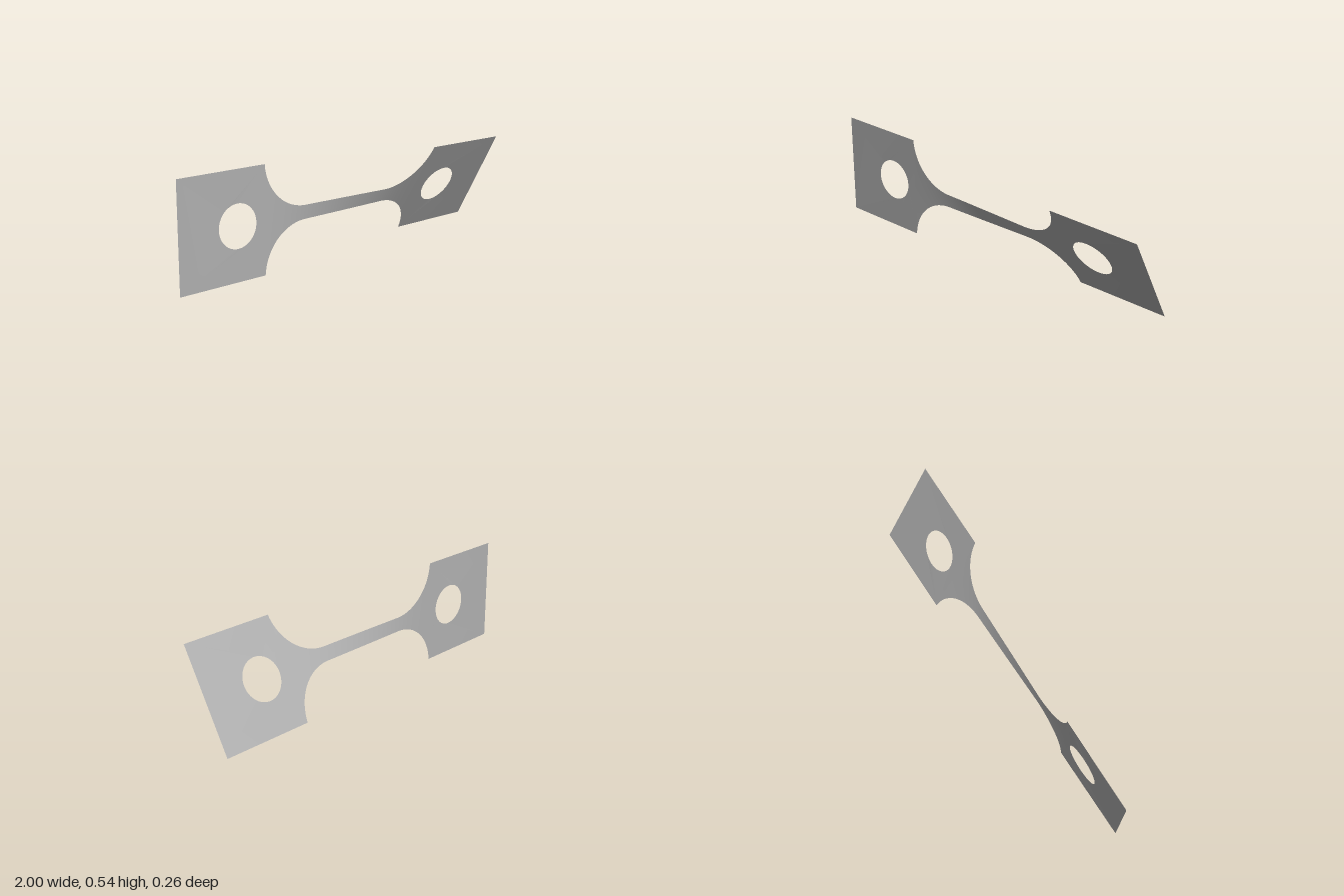
import * as THREE from 'three';

const CENTRE_Y = 0.271, TAB_HALF = 0.27, NECK_HALF = 0.036;
const NECK_END = 0.26, FILLET = 0.25, TAB_START = 0.5095;
const HOLE_X = 0.67, HOLE_R = 0.108;
const TWIST = THREE.MathUtils.degToRad(29.2);

// Half height of the strip at a given x: straight neck, round fillets, square tabs
function halfHeight(x) {
  const d = Math.abs(x) - NECK_END;
  if (d <= 0) return NECK_HALF;
  if (d >= TAB_START - NECK_END) return TAB_HALF;
  return Math.min(TAB_HALF, NECK_HALF + FILLET - Math.sqrt(FILLET * FILLET - d * d));
}

// Twist accumulates between the holes, faster where the strip is narrower
const STEPS = 400;
const angles = [0];
for (let i = 0; i < STEPS; i++) {
  const x = -HOLE_X + (2 * HOLE_X * (i + 0.5)) / STEPS;
  angles.push(angles[i] + 1 / halfHeight(x));
}
function angleAt(x) {
  const t = THREE.MathUtils.clamp((x + HOLE_X) / (2 * HOLE_X), 0, 1) * STEPS;
  const i = Math.min(Math.floor(t), STEPS - 1);
  return (TWIST * THREE.MathUtils.lerp(angles[i], angles[i + 1], t - i)) / angles[STEPS];
}

// Turn a flat sheet about the long axis by the local twist angle
function twist(geometry) {
  const p = geometry.attributes.position;
  for (let i = 0; i < p.count; i++) {
    const a = angleAt(p.getX(i)), h = p.getY(i);
    p.setXYZ(i, p.getX(i), CENTRE_Y + h * Math.cos(a), h * Math.sin(a));
  }
  geometry.computeVertexNormals();
  return geometry;
}

// Square end tab with a round hole
function tabGeometry(side) {
  const a = side * TAB_START, b = side;
  const shape = new THREE.Shape([
    new THREE.Vector2(a, -TAB_HALF), new THREE.Vector2(b, -TAB_HALF),
    new THREE.Vector2(b, TAB_HALF), new THREE.Vector2(a, TAB_HALF),
  ]);
  const hole = new THREE.Path();
  hole.absarc(side * HOLE_X, 0, HOLE_R, 0, Math.PI * 2, true);
  shape.holes.push(hole);
  return twist(new THREE.ShapeGeometry(shape, 32));
}

// Neck with its fillets: a grid squeezed to the outline
function neckGeometry() {
  const g = new THREE.PlaneGeometry(2, 2, 120, 12);
  const p = g.attributes.position;
  for (let i = 0; i < p.count; i++) {
    // columns crowd towards the steep ends of the fillets
    const x = TAB_START * Math.sin((p.getX(i) * Math.PI) / 2);
    const h = Math.abs(p.getX(i)) > 0.9999 ? TAB_HALF : halfHeight(x);
    p.setXY(i, x, p.getY(i) * h);
  }
  return twist(g);
}

export function createModel() {
  const group = new THREE.Group();
  group.name = 'twistedTestStrip';
  const metal = new THREE.MeshStandardMaterial({ color: 0xb0b0b0, side: THREE.DoubleSide });
  metal.name = 'grey metal';

  const add = (name, geometry) => {
    const mesh = new THREE.Mesh(geometry, metal);
    mesh.name = name;
    group.add(mesh);
  };
  add('neck', neckGeometry());
  add('leftTab', tabGeometry(1));
  add('rightTab', tabGeometry(-1));
  return group;
}
